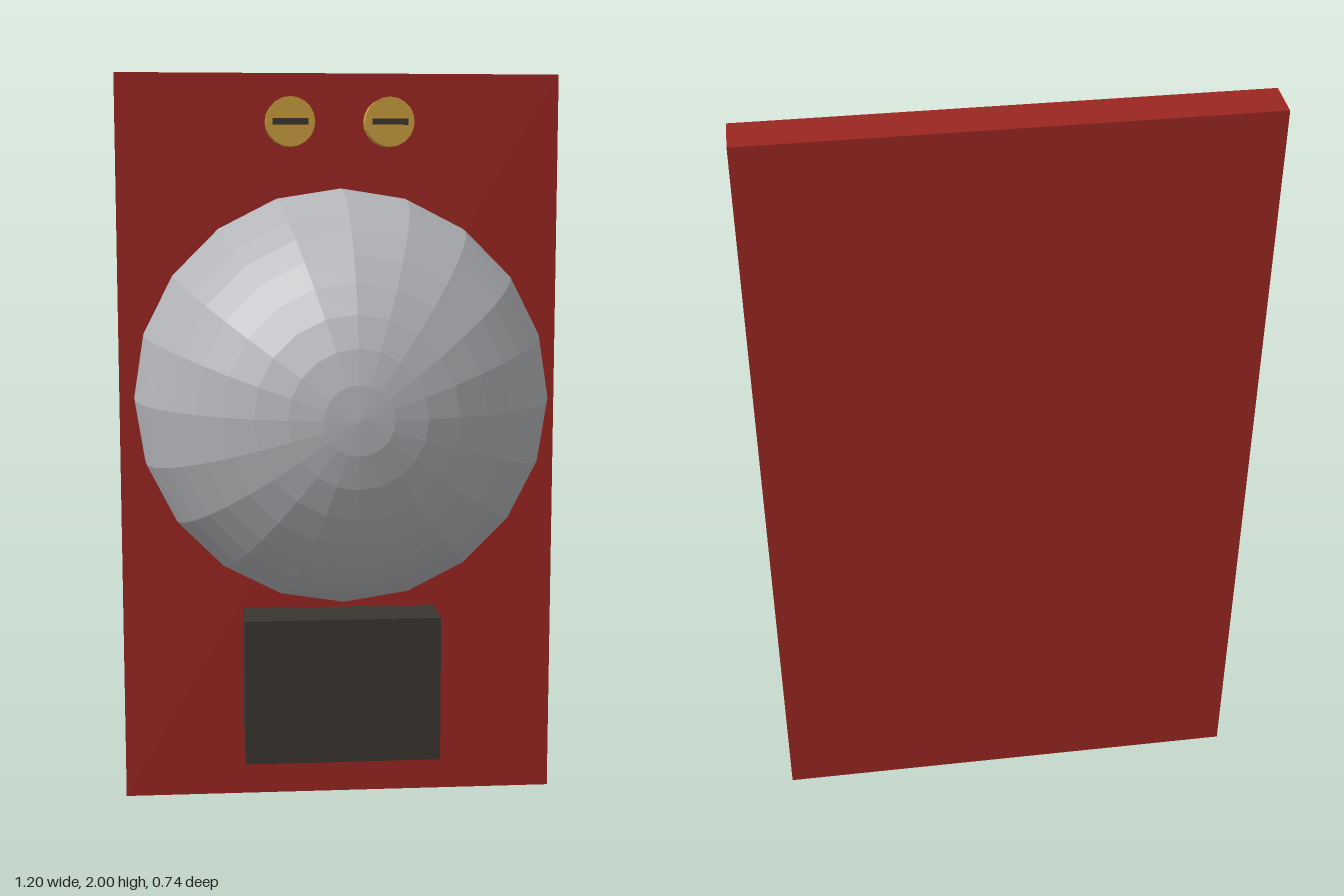
import * as THREE from 'three';

const paint = (color) => new THREE.MeshStandardMaterial({ color, flatShading: true });

export function createModel() {
  const model = new THREE.Group();
  const red = paint(0x9c2622), dark = paint(0x3a3630), brass = paint(0xc89b3c), steel = paint(0xb4b5b9);

  const add = (name, geometry, material, x, y, z) => {
    const mesh = new THREE.Mesh(geometry, material);
    mesh.name = name;
    mesh.position.set(x, y, z);
    model.add(mesh);
  };
  // box given by its size and its back and front z
  const block = (name, material, w, h, x, y, z0, z1) =>
    add(name, new THREE.BoxGeometry(w, h, z1 - z0), material, x, y, (z0 + z1) / 2);

  block('backBoard', red, 1.2, 2, 0, 1, -0.37, -0.267);
  block('strikerHousing', dark, 0.535, 0.4, 0, 0.335, -0.267, -0.107);

  // hollow hemispherical gong: inner wall down to the rim, then outer wall up
  const rings = 10, profile = [];
  const arc = (r, i) => {
    const a = (i / rings) * Math.PI / 2;
    return new THREE.Vector2(Math.max(0, r * Math.cos(a)), r * Math.sin(a));
  };
  for (let i = rings; i >= 0; i--) profile.push(arc(0.538, i));
  for (let i = 0; i <= rings; i++) profile.push(arc(0.557, i));
  const gong = new THREE.LatheGeometry(profile, 20).rotateX(Math.PI / 2);
  add('gong', gong, steel, 0, 1.137, -0.187);

  // post carrying the gong from the board to its crown
  block('gongPost', dark, 0.107, 0.107, 0, 1.137, -0.267, 0.34);

  // slotted terminal screws
  for (const x of [-0.133, 0.133]) {
    const head = new THREE.CylinderGeometry(0.066, 0.066, 0.067, 20).rotateX(Math.PI / 2);
    add('terminalScrew', head, brass, x, 1.87, -0.2335);
    block('screwSlot', dark, 0.095, 0.016, x, 1.87, -0.21, -0.187);
  }
  return model;
}
